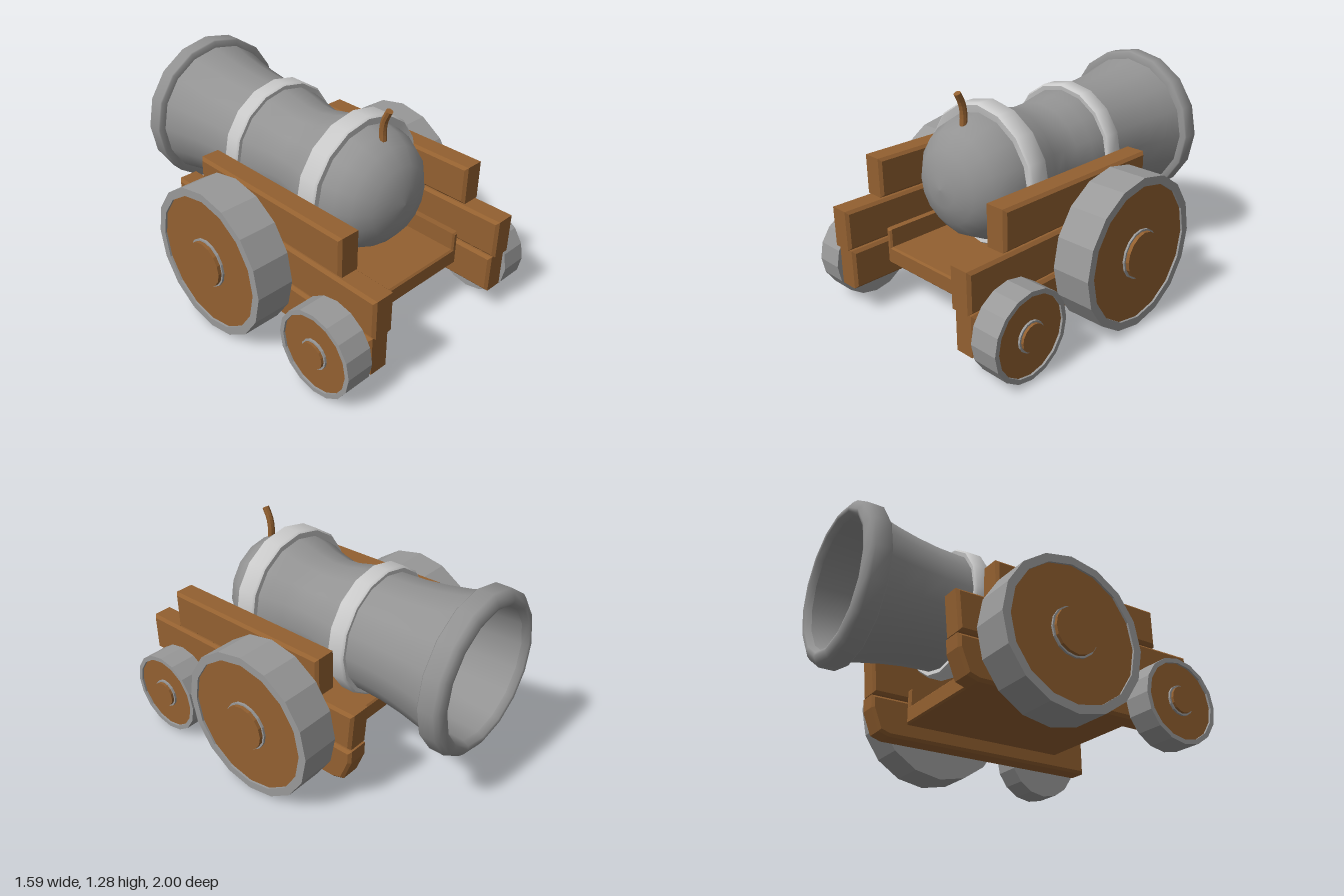
import * as THREE from 'three';
import { toCreasedNormals } from 'three/addons/utils/BufferGeometryUtils.js';

const SIDES = 16;
const AXIS_Y = 0.785; // height of the barrel axis

export function createModel() {
  const model = new THREE.Group();
  model.name = 'cannon';
  const iron = new THREE.MeshStandardMaterial({ color: 0x939393 });
  const bandMetal = new THREE.MeshStandardMaterial({ color: 0xcccccc });
  const tyreMetal = new THREE.MeshStandardMaterial({ color: 0x999999, flatShading: true });
  const wood = new THREE.MeshStandardMaterial({ color: 0x936030, flatShading: true });

  const add = (parent, name, geometry, material) => {
    const mesh = new THREE.Mesh(geometry, material);
    mesh.name = name;
    parent.add(mesh);
    return mesh;
  };
  const vectors = (points) => points.map(([a, b]) => new THREE.Vector2(a, b));

  // Turned part along the barrel axis, profile given as [radius, z] from breech to muzzle
  const turned = (name, material, profile, crease) => {
    let g = new THREE.LatheGeometry(vectors(profile.map(([r, z]) => [r, -z])), SIDES);
    if (crease) g = toCreasedNormals(g, crease);
    g.rotateX(-Math.PI / 2);
    g.translate(0, AXIS_Y, 0);
    return add(model, name, g, material);
  };

  // Barrel: round breech, narrow waist, flared mouth
  turned('barrel', iron, [
    [0, 0.695], [0.1, 0.685], [0.205, 0.648], [0.287, 0.578], [0.333, 0.495], [0.353, 0.41],
    [0.362, 0.32], [0.35, 0.24], [0.32, 0.15], [0.298, 0.04], [0.303, -0.05],
    [0.325, -0.15], [0.342, -0.25], [0.341, -0.36], [0.347, -0.5], [0.362, -0.63],
    [0.385, -0.76], [0.415, -0.88],
  ]);
  turned('muzzleRing', iron, [
    [0.4, -0.865], [0.45, -0.865], [0.457, -0.872], [0.457, -0.96], [0.44, -0.98],
    [0.405, -1], [0.385, -0.995], [0.37, -0.96],
  ], 1);
  // Thin-walled bore that follows the outer shape
  turned('bore', iron, [
    [0.37, -0.96], [0.362, -0.8], [0.343, -0.63], [0.33, -0.5], [0.322, -0.36],
    [0.315, -0.25], [0.302, -0.15], [0.285, -0.05], [0.28, 0.05], [0.25, 0.2],
    [0.15, 0.3], [0, 0.34],
  ]);

  // Two raised bands: [front z, rear z, radius]
  [[0.42, 0.293, 0.405], [-0.232, -0.338, 0.375]].forEach(([z0, z1, r]) => {
    turned('barrelBand', bandMetal, [
      [r - 0.09, z0 - 0.02], [r - 0.04, z0 - 0.006], [r - 0.01, z0], [r, z0 - 0.012],
      [r, z1 + 0.012], [r - 0.01, z1], [r - 0.04, z1 + 0.006], [r - 0.09, z1 + 0.02],
    ], 1);
  });

  // Fuse
  const fusePath = new THREE.CatmullRomCurve3([
    new THREE.Vector3(0, 1.08, 0.52), new THREE.Vector3(0, 1.15, 0.515),
    new THREE.Vector3(0, 1.21, 0.524), new THREE.Vector3(0, 1.272, 0.553),
  ]);
  add(model, 'fuse', new THREE.TubeGeometry(fusePath, 8, 0.02, 8), wood);
  const tip = add(model, 'fuseTip', new THREE.CircleGeometry(0.02, 8), wood);
  tip.position.copy(fusePath.getPoint(1));
  tip.lookAt(tip.position.clone().add(fusePath.getTangent(1)));

  // Prism with chamfered edges, centred on its extrusion axis
  const chamfered = (points, depth, bevel) => {
    const g = new THREE.ExtrudeGeometry(new THREE.Shape(vectors(points)), {
      depth: depth - 2 * bevel, bevelThickness: bevel, bevelSize: bevel,
      bevelOffset: -bevel, bevelSegments: 1,
    });
    return g.translate(0, 0, bevel - depth / 2);
  };

  // Side planks, outlines as [z, y]
  const planks = {
    upperPlank: [[-0.32, 0.637], [0.765, 0.637], [0.765, 0.865], [-0.32, 0.865]],
    middlePlank: [[-0.535, 0.398], [1, 0.398], [1, 0.628], [-0.555, 0.628]],
    lowerPlank: [[-0.42, 0.157], [0.98, 0.157], [0.98, 0.388], [-0.54, 0.388],
      [-0.537, 0.31], [-0.485, 0.178]],
  };

  // Wheel with its axle along +x, inner face at x = 0
  const wheel = (name, R, rimR, width, hubR, hubOut) => {
    const group = new THREE.Group();
    group.name = name;
    const sideways = (g) => g.rotateZ(-Math.PI / 2);
    const ring = (points) => sideways(new THREE.LatheGeometry(vectors(points), SIDES));
    const disc = (r, x0, x1) =>
      sideways(new THREE.CylinderGeometry(r, r, x1 - x0, SIDES).translate(0, (x0 + x1) / 2, 0));
    add(group, 'tyre', ring([[0, 0], [R, 0], [R, width], [rimR, width], [rimR, width - 0.03]]), tyreMetal);
    add(group, 'wheelDisc', disc(rimR, width - 0.04, width - 0.012), wood);
    add(group, 'hubRing', ring([
      [hubR + 0.01, width - 0.02], [hubR + 0.01, width], [hubR - 0.004, width],
    ]), tyreMetal);
    add(group, 'hub', disc(hubR, width - 0.03, width + hubOut), wood);
    return group;
  };

  for (const side of [1, -1]) {
    for (const [name, outline] of Object.entries(planks)) {
      const g = chamfered(outline, 0.138, 0.016).rotateY(-Math.PI / 2);
      add(model, name, g, wood).position.x = side * 0.479;
    }
    const big = wheel('largeWheel', 0.432, 0.385, 0.227, 0.13, 0.02);
    big.position.set(side * 0.549, 0.432, -0.008);
    const small = wheel('smallWheel', 0.246, 0.22, 0.163, 0.075, 0.015);
    small.position.set(side * 0.549, 0.252, 0.754);
    for (const w of [big, small]) {
      if (side < 0) w.rotation.y = Math.PI;
      model.add(w);
    }
  }

  // Carriage floor with a low rail along each side
  const floor = chamfered([
    [-0.408, 0.243], [0.408, 0.243], [0.408, 0.455], [0.37, 0.455], [0.37, 0.348],
    [-0.37, 0.348], [-0.37, 0.455], [-0.408, 0.455],
  ], 1.075, 0.01);
  add(model, 'carriageFloor', floor, wood).position.z = 0.2175;

  return model;
}
